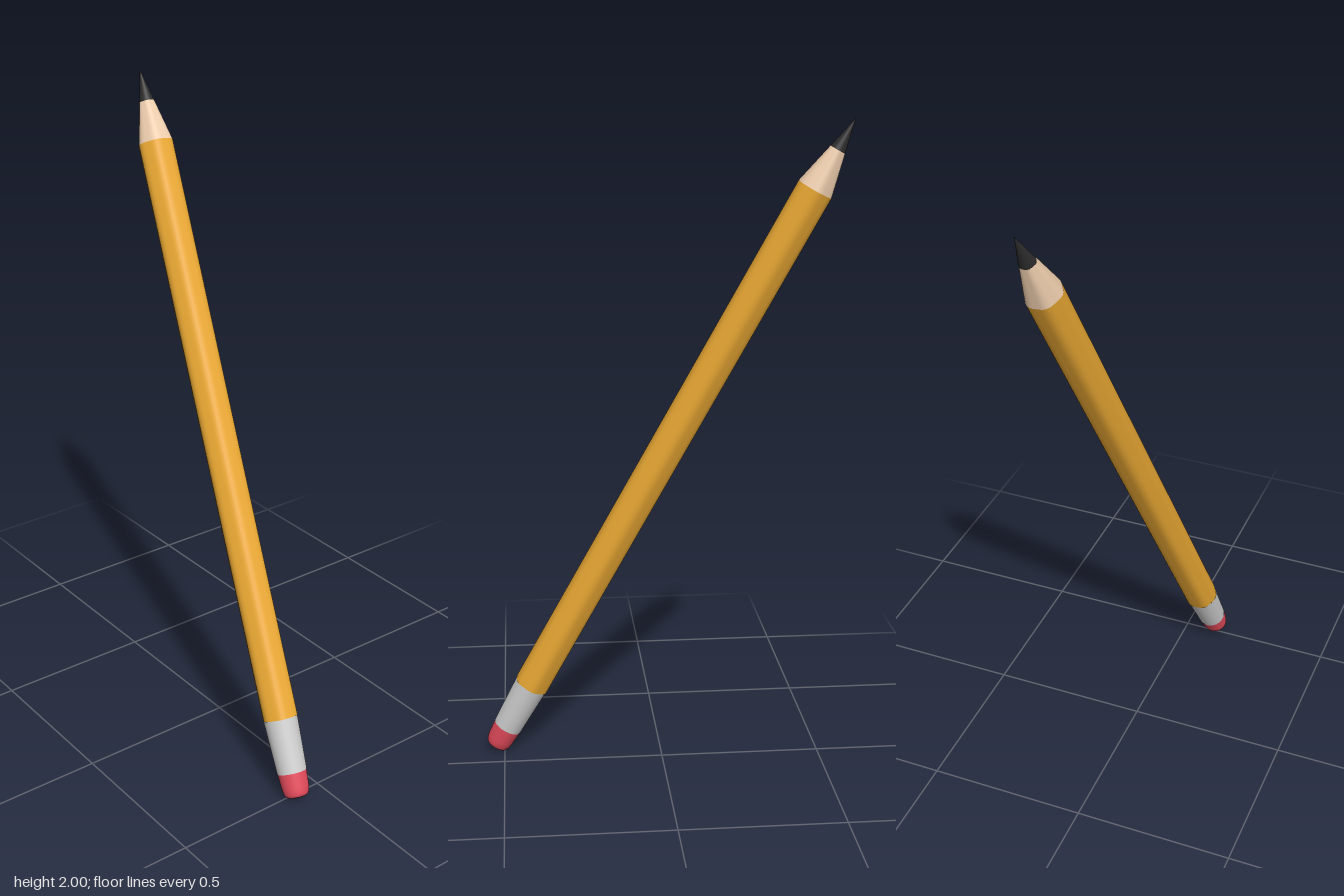
import * as THREE from 'three';
import { mergeVertices } from 'three/addons/utils/BufferGeometryUtils.js';

const SIDES = 48;

// Turned part: profile is [radius, height] from bottom to top; ridge swells six soft edges
function turned(name, color, profile, ridge = 0) {
  let geo = new THREE.LatheGeometry(profile.map(([r, h]) => new THREE.Vector2(r, h)), SIDES);
  if (ridge) {
    const p = geo.attributes.position;
    for (let i = 0; i < p.count; i++) {
      const s = 1 + ridge * Math.cos(6 * Math.atan2(p.getZ(i), p.getX(i)));
      p.setXYZ(i, p.getX(i) * s, p.getY(i), p.getZ(i) * s);
    }
    geo.deleteAttribute('uv');
    geo.deleteAttribute('normal');
    geo = mergeVertices(geo, 1e-5);
    geo.computeVertexNormals();
  }
  const mesh = new THREE.Mesh(geo, new THREE.MeshStandardMaterial({ color, side: THREE.DoubleSide }));
  mesh.name = name;
  return mesh;
}

export function createModel() {
  const group = new THREE.Group();
  group.name = 'pencil';

  // Parts stacked along the pencil's own axis
  const pencil = new THREE.Group();
  pencil.name = 'tiltedPencil';
  pencil.add(
    turned('eraser', 0xe04a5a, [[0, 0], [0.026, 0], [0.034, 0.003], [0.039, 0.012], [0.042, 0.03], [0.045, 0.077]]),
    turned('ferrule', 0xcccccc, [[0.046, 0.077], [0.0525, 0.243]]),
    turned('shaft', 0xeaa833, [[0.054, 0.243], [0.054, 2.033]], 0.03),
    turned('sharpenedWood', 0xecccac, [[0.054, 2.033], [0.024, 2.162]], 0.03),
    turned('lead', 0x2b2b2b, [[0.024, 2.162], [0, 2.264]]),
  );

  // Lean the pencil from its eraser end to its tip
  const base = new THREE.Vector3(-0.1, 0.016, 0.525);
  const tip = new THREE.Vector3(0.105, 2, -0.545);
  const axis = tip.sub(base).normalize();
  pencil.quaternion.setFromUnitVectors(new THREE.Vector3(0, 1, 0), axis);
  pencil.position.copy(base);
  group.add(pencil);
  return group;
}
